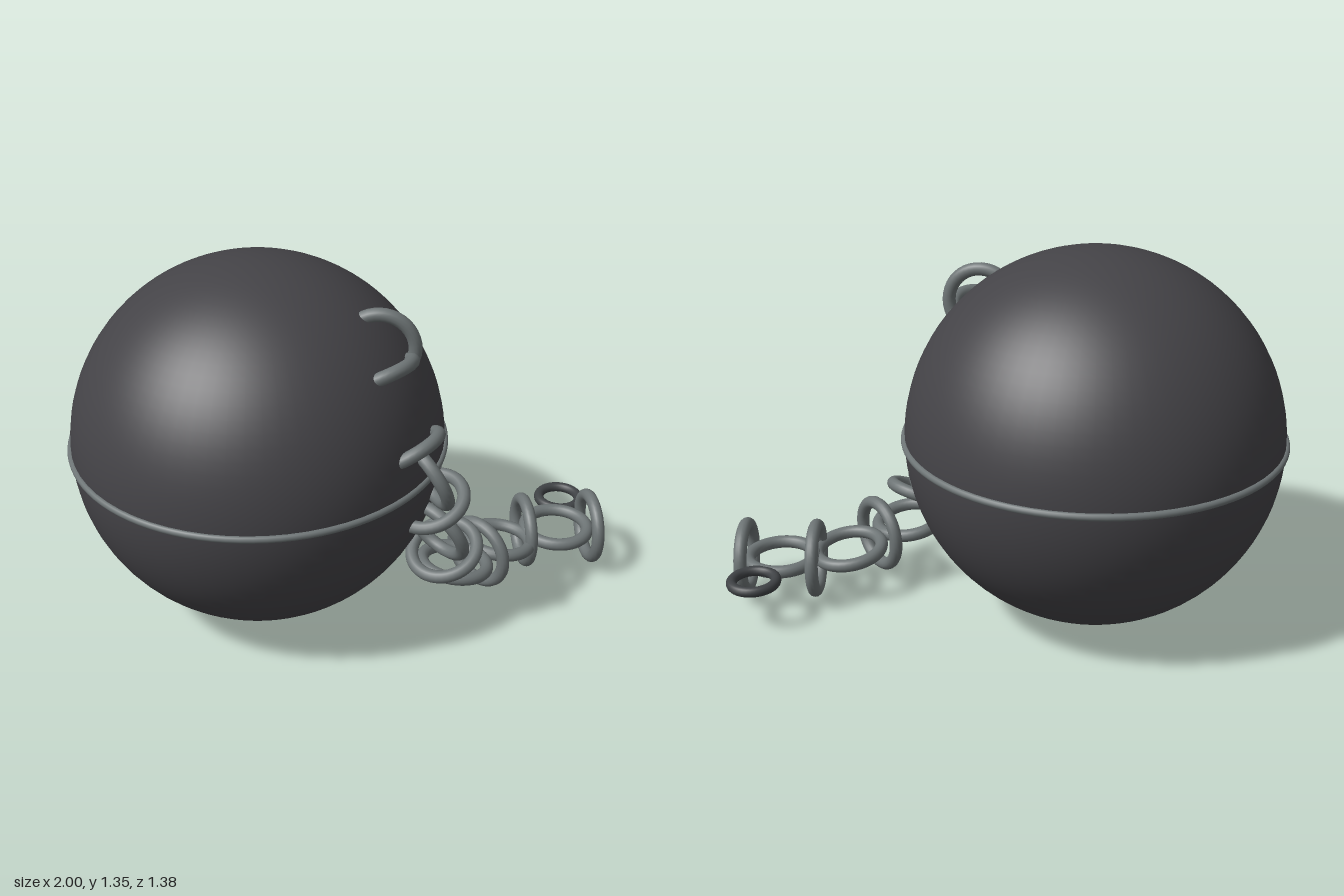
import * as THREE from 'three';

const ballMetal = new THREE.MeshStandardMaterial({ color: 0x444347 });
const chainSteel = new THREE.MeshStandardMaterial({ color: 0x6d7475 });
const darkSteel = new THREE.MeshStandardMaterial({ color: 0x3f4245 });

// Ring whose axis points along the given normal
function ring(name, radius, tube, center, normal, material, segments = 40) {
  const mesh = new THREE.Mesh(new THREE.TorusGeometry(radius, tube, 14, segments), material);
  mesh.name = name;
  mesh.position.set(...center);
  mesh.quaternion.setFromUnitVectors(
    new THREE.Vector3(0, 0, 1),
    new THREE.Vector3(...normal).normalize()
  );
  return mesh;
}

export function createModel() {
  const model = new THREE.Group();
  model.name = 'ballAndChain';

  // Heavy ball with a seam band round its equator
  const ball = new THREE.Mesh(new THREE.SphereGeometry(0.677, 64, 48), ballMetal);
  ball.name = 'ball';
  ball.position.set(-0.31, 0.682, 0);
  model.add(ball);
  model.add(ring('seamBand', 0.677, 0.013, [-0.31, 0.684, 0], [0, 1, 0], chainSteel, 96));

  // Chain links: centre and axis, from the top of the ball to the free end
  const links = [
    [[0.135, 1.11, 0.1], [0, 0, 1]],
    [[0.14, 1.046, 0.17], [-0.45, 1, -0.3]],
    [[0.245, 0.795, 0.245], [-0.6, 1, -0.27]],
    [[0.315, 0.685, 0.225], [0.77, 0.4, -0.51]],
    [[0.33, 0.565, 0.2], [-0.3, 1, 0.33]],
    [[0.355, 0.42, 0.165], [0.6, 0.4, -0.69]],
    [[0.385, 0.31, 0.125], [-0.25, 1, 0.4]],
    [[0.425, 0.213, 0.07], [0.1, 1, -0.1]],
    [[0.512, 0.195, -0.035], [0.63, 0, -0.78]],
    [[0.59, 0.175, -0.15], [0.08, 1, -0.1]],
    [[0.688, 0.168, -0.24], [0.97, 0, -0.24]],
    [[0.815, 0.17, -0.268], [0, 1, 0]],
    [[0.945, 0.168, -0.295], [0.97, 0, -0.24]],
  ];
  const chain = new THREE.Group();
  chain.name = 'chain';
  links.forEach(([center, normal], i) =>
    chain.add(ring(`chainLink${i + 1}`, 0.122, 0.024, center, normal, chainSteel)));
  model.add(chain);

  // Small dark ring at the free end
  model.add(ring('endRing', 0.08, 0.019, [0.832, 0.174, -0.478], [0, 1, 0], darkSteel));

  return model;
}
